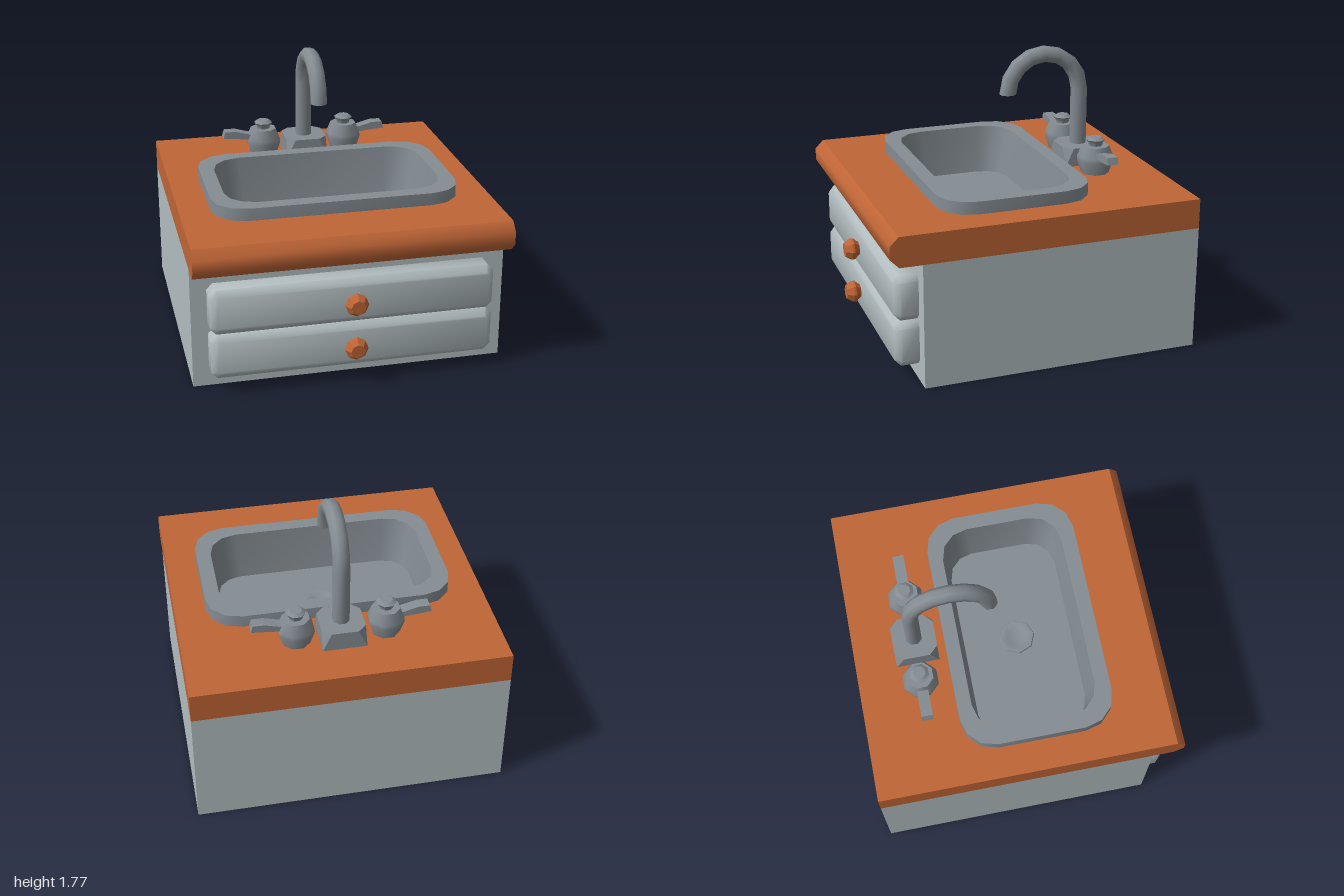
import * as THREE from 'three';
import { toCreasedNormals } from 'three/addons/utils/BufferGeometryUtils.js';

const material = (name, color) => Object.assign(new THREE.MeshStandardMaterial({ color }), { name });

// Rounded rectangle lying flat at height y, centred on z = cz
function roundRect(hx, hz, r, seg, y, cz) {
  const pts = [];
  [[1, 1], [-1, 1], [-1, -1], [1, -1]].forEach(([sx, su], i) => {
    for (let k = 0; k <= seg; k++) {
      const t = (i + k / seg) * Math.PI / 2;
      const u = su * (hz - r) + r * Math.sin(t);
      pts.push(new THREE.Vector3(sx * (hx - r) + r * Math.cos(t), y, cz - u));
    }
  });
  return pts;
}

// Skin through matching rings, with both ends optionally closed
function loft(rings, capStart, capEnd) {
  const n = rings[0].length, index = [];
  for (let i = 0; i < rings.length - 1; i++) {
    for (let j = 0; j < n; j++) {
      const a = i * n + j, b = i * n + (j + 1) % n;
      index.push(a, b, b + n, a, b + n, a + n);
    }
  }
  const last = (rings.length - 1) * n;
  for (let j = 1; j < n - 1; j++) {
    if (capStart) index.push(0, j + 1, j);
    if (capEnd) index.push(last, last + j, last + j + 1);
  }
  const g = new THREE.BufferGeometry().setFromPoints(rings.flat());
  g.setIndex(index);
  return g;
}

const polygon = (pts) => new THREE.Shape(pts.map(([x, y]) => new THREE.Vector2(x, y)));

function lathe(profile, turn = 0) {
  return new THREE.LatheGeometry(profile.map(([r, y]) => new THREE.Vector2(r, y)), 8, turn);
}

export function createModel() {
  const model = new THREE.Group();
  model.name = 'sinkCabinet';
  const wood = material('orangeWood', 0xbf6536);
  const paint = material('paleGreyPaint', 0xb2bdbf);
  const metal = material('greyMetal', 0x858d93);

  const add = (name, geometry, mat, crease = 0.6, parent = model) => {
    const mesh = new THREE.Mesh(toCreasedNormals(geometry, crease), mat);
    mesh.name = name;
    parent.add(mesh);
    return mesh;
  };

  // Cabinet box, open on top beneath the counter
  const box = new THREE.BoxGeometry(1.96, 0.79, 1.765);
  const faces = Array.from(box.index.array);
  faces.splice(12, 6);
  box.setIndex(faces);
  box.clearGroups();
  box.translate(0, 0.395, -0.1175);
  add('cabinet', box, paint);

  // Counter slab with the basin cut-out
  const slab = polygon([[-0.98, -0.905], [0.98, -0.905], [0.98, 1], [-0.98, 1]]);
  slab.holes.push(new THREE.Path(
    roundRect(0.74, 0.44, 0.2, 3, 0, 0.077).map((p) => new THREE.Vector2(p.x, -p.z)).reverse()));
  const slabGeo = new THREE.ExtrudeGeometry(slab, { depth: 0.19, bevelEnabled: false });
  slabGeo.rotateX(-Math.PI / 2).translate(0, 0.79, 0);
  add('counter', slabGeo, wood);

  // Chamfered front edge of the counter
  const nose = polygon([[-0.905, 0.79], [-0.905, 0.98], [-0.96, 0.925], [-0.96, 0.845]]);
  const noseGeo = new THREE.ExtrudeGeometry(nose, { depth: 1.96, bevelEnabled: false });
  noseGeo.rotateY(Math.PI / 2).translate(-0.98, 0, 0);
  add('counterFrontEdge', noseGeo, wood, 0.9);

  // Drawers with bevelled fronts and faceted knobs
  const b = 0.038;
  for (const [label, y] of [['upper', 0.542], ['lower', 0.247]]) {
    const outline = new THREE.Shape(
      roundRect(0.88, 0.145, b, 1, 0, 0).map((p) => new THREE.Vector2(p.x, -p.z)));
    const front = new THREE.ExtrudeGeometry(outline, {
      depth: 0.11, bevelEnabled: true, bevelSegments: 1, bevelSize: b, bevelThickness: b, bevelOffset: -b,
    });
    front.translate(0, y, 0.91 - 0.11 - b);
    add(label + 'Drawer', front, paint, 0.9);

    const knob = lathe([[0.045, 0], [0.052, 0.012], [0.073, 0.035], [0.073, 0.05], [0.045, 0.09], [0, 0.09]]);
    knob.rotateX(Math.PI / 2).translate(0, y, 0.91);
    add(label + 'Knob', knob, wood, 0.5);
  }

  // Basin: raised rim, sloping walls and floor
  const floor = 0.74;
  add('basin', loft([
    roundRect(0.785, 0.488, 0.21, 3, 0.97, 0.077),
    roundRect(0.785, 0.488, 0.21, 3, 1.06, 0.077),
    roundRect(0.69, 0.395, 0.19, 3, 1.06, 0.075),
    roundRect(0.65, 0.355, 0.17, 3, floor, 0.075),
  ], false, true), metal, 0.7);

  // Drain ring
  const drain = lathe([[0.12, 0], [0.115, 0.012], [0.085, 0.015], [0.06, 0.003], [0, 0.003]]);
  drain.translate(0, floor, 0.07);
  add('drain', drain, metal);

  // Faucet base: square foot with corners cut away toward the top
  add('faucetBase', loft([
    roundRect(0.138, 0.138, 0, 1, 0.98, -0.6),
    roundRect(0.138, 0.138, 0.055, 1, 1.1, -0.6),
  ], true, true), metal, 0.3);

  // Gooseneck spout
  const ring = (y, z, t) => Array.from({ length: 8 }, (_, k) => {
    const a = (k + 0.5) * Math.PI / 4, s = 0.054 * Math.sin(a);
    return new THREE.Vector3(0.054 * Math.cos(a), y + s * Math.sin(t), z - s * Math.cos(t));
  });
  const rings = [ring(1.09, -0.6, 0)];
  for (let i = 0; i <= 8; i++) {
    const t = i * Math.PI / 8;
    rings.push(ring(1.47 + 0.247 * Math.sin(t), -0.353 - 0.247 * Math.cos(t), t));
  }
  add('spout', loft(rings, false, true), metal, 0.9);

  // Pair of tap handles, the second turned half way round
  for (const [name, angle] of [['leftTap', 0], ['rightTap', Math.PI]]) {
    const tap = new THREE.Group();
    tap.name = name;
    tap.position.z = -0.605;
    tap.rotation.y = angle;
    model.add(tap);

    const body = lathe([[0.09, 0.98], [0.118, 1.065], [0.116, 1.09], [0.088, 1.16], [0, 1.16]], Math.PI / 8);
    add('tapBody', body.translate(0.28, 0, 0), metal, 0.9, tap);

    const cap = lathe([[0.042, 1.15], [0.045, 1.175], [0.062, 1.2], [0.04, 1.216], [0, 1.216]], Math.PI / 8);
    add('tapCap', cap.translate(0.28, 0, 0), metal, 0.6, tap);

    const side = polygon([[0.32, 1.08], [0.39, 1.095], [0.56, 1.11], [0.547, 1.155], [0.475, 1.155],
      [0.385, 1.13], [0.32, 1.13]]);
    const lever = new THREE.ExtrudeGeometry(side, { depth: 0.072, bevelEnabled: false });
    add('tapLever', lever.translate(0, 0, -0.036), metal, 0.4, tap);
  }
  return model;
}
